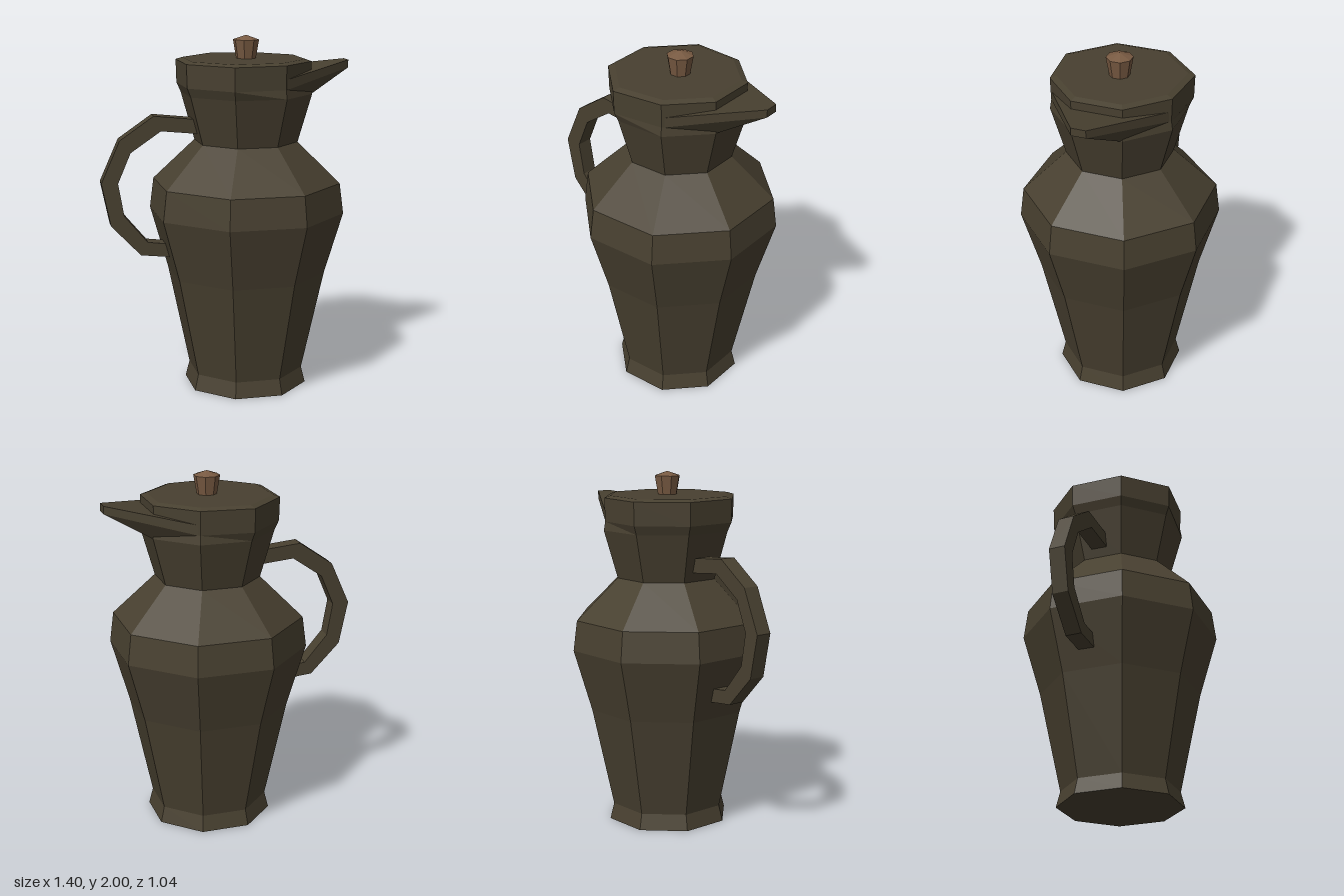
import * as THREE from 'three';
import { ConvexGeometry } from 'three/addons/geometries/ConvexGeometry.js';

const v2 = (pts) => pts.map(([x, y]) => new THREE.Vector2(x, y));

// Eight-sided lathe with hard facets
function octLathe(points, deform) {
  const g = new THREE.LatheGeometry(v2(points), 8, Math.PI / 8);
  const p = g.attributes.position;
  if (deform) {
    for (let i = 0; i < p.count; i++) {
      const [x, y, z] = deform(p.getX(i), p.getY(i), p.getZ(i));
      p.setXYZ(i, x, y, z);
    }
  }
  const flat = g.toNonIndexed();
  flat.computeVertexNormals();
  return flat;
}

export function createModel() {
  const model = new THREE.Group();
  model.name = 'pitcher';
  const metal = new THREE.MeshStandardMaterial({ color: 0x484030, flatShading: true });
  metal.name = 'dark bronze';
  const wood = new THREE.MeshStandardMaterial({ color: 0x785a42, flatShading: true });
  wood.name = 'brown knob';

  const add = (parent, name, geometry, material) => {
    const mesh = new THREE.Mesh(geometry, material);
    mesh.name = name;
    parent.add(mesh);
    return mesh;
  };

  // Vessel sits off centre and is turned slightly
  const vessel = new THREE.Group();
  vessel.name = 'vessel';
  vessel.position.x = 0.115;
  vessel.rotation.y = 0.045;
  model.add(vessel);

  // Body from foot to neck
  add(vessel, 'body', octLathe([
    [0, 0], [0.352, 0], [0.329, 0.09], [0.452, 0.66], [0.555, 1.01],
    [0.533, 1.18], [0.293, 1.41], [0.371, 1.68], [0, 1.68],
  ]), metal);

  // Collar and lid, drawn in a little on the spout side
  add(vessel, 'lid', octLathe([
    [0, 1.68], [0.371, 1.68], [0.394, 1.73], [0.398, 1.86], [0.36, 1.872], [0, 1.872],
  ], (x, y, z) => {
    const s = x > 0.05 && y > 1.7 ? 0.92 : 1;
    return [x * s, y, z * s];
  }), metal);

  // Pouring spout
  const spoutPoints = [];
  for (const s of [-1, 1]) {
    for (const [x, y, z] of [
      [0.15, 1.785, 0.325], [0.15, 1.73, 0.325], [0.343, 1.68, 0.13],
      [0.583, 1.853, 0.04], [0.583, 1.81, 0.04],
    ]) spoutPoints.push(new THREE.Vector3(x, y, z * s));
  }
  add(vessel, 'spout', new ConvexGeometry(spoutPoints), metal);

  // Knob on the lid
  add(vessel, 'knob', octLathe([
    [0, 1.865], [0.054, 1.865], [0.073, 1.975], [0, 2],
  ]), wood);

  // Faceted handle
  const outer = [[-0.1, 1.535], [-0.41, 1.567], [-0.6, 1.435], [-0.705, 1.198],
    [-0.655, 0.955], [-0.49, 0.782], [-0.28, 0.76]];
  const inner = [[-0.28, 0.835], [-0.45, 0.855], [-0.58, 1.01], [-0.612, 1.195],
    [-0.54, 1.365], [-0.37, 1.482], [-0.1, 1.455]];
  const handle = new THREE.ExtrudeGeometry(
    new THREE.Shape(v2([...outer, ...inner])), { depth: 0.092, bevelEnabled: false });
  handle.translate(0, 0, -0.049);
  add(model, 'handle', handle, metal);

  return model;
}
